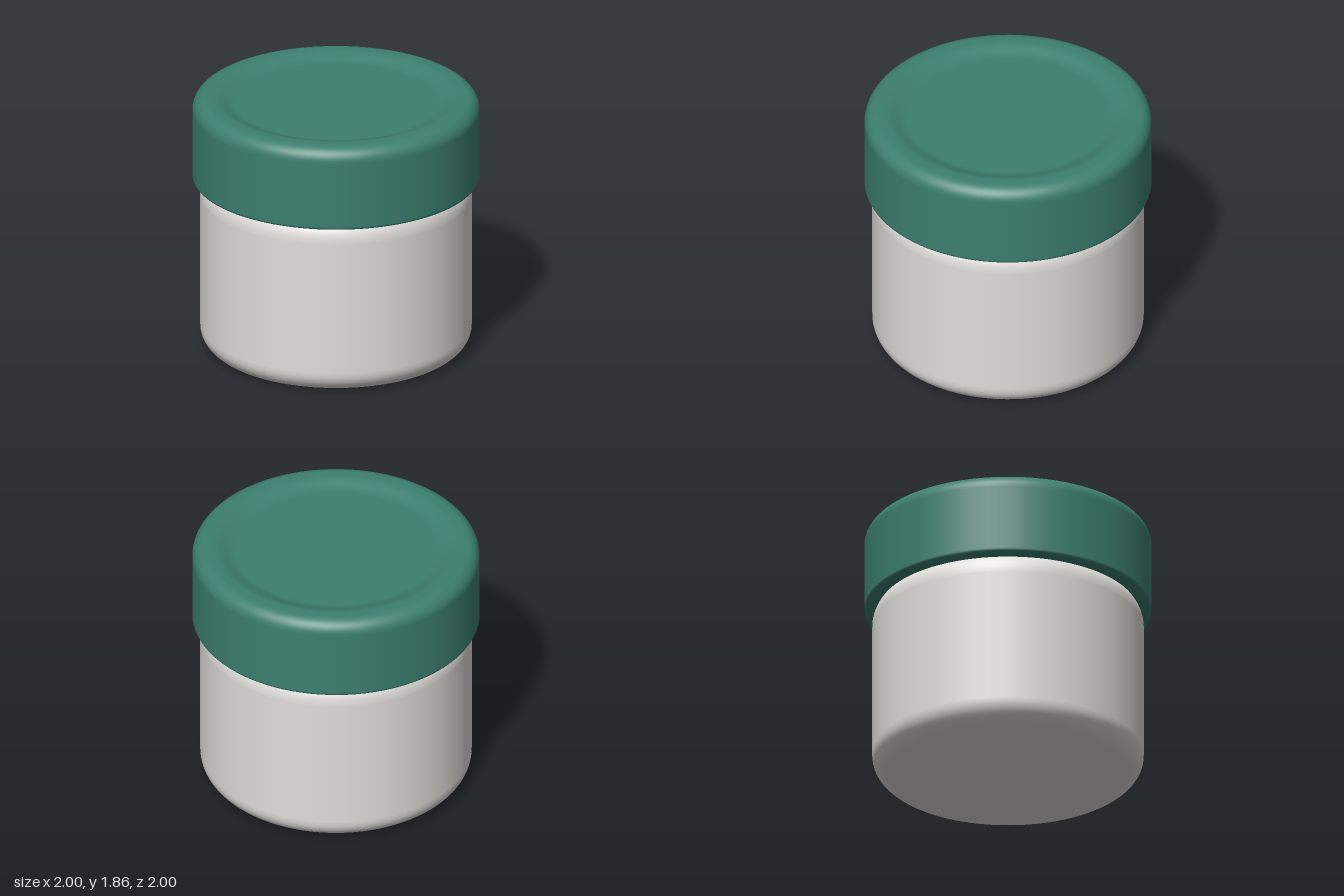
import * as THREE from 'three';

const SEGMENTS = 96;

// Points of an elliptical arc in the (radius, height) profile plane, angles in degrees
function arc(cx, cy, rx, ry, from, to, steps = 10) {
  return Array.from({ length: steps + 1 }, (_, i) => {
    const a = THREE.MathUtils.degToRad(from + ((to - from) * i) / steps);
    return new THREE.Vector2(cx + rx * Math.cos(a), cy + ry * Math.sin(a));
  });
}

const p = (r, y) => new THREE.Vector2(r, y);

function turned(name, profile, material) {
  const mesh = new THREE.Mesh(new THREE.LatheGeometry(profile, SEGMENTS), material);
  mesh.name = name;
  return mesh;
}

export function createModel() {
  const jarWhite = new THREE.MeshStandardMaterial({ name: 'jarWhite', color: 0xe0deda });
  const lidGreen = new THREE.MeshStandardMaterial({ name: 'lidGreen', color: 0x3c7f70 });
  const group = new THREE.Group();
  group.name = 'jar';

  // Jar body: flat base, rounded foot, straight wall, shoulder running up inside the lid
  group.add(turned('jarBody', [
    p(0, 0),
    p(0.785, 0),
    ...arc(0.795, 0.15, 0.15, 0.15, -90, 0),
    p(0.945, 0.16),
    p(0.945, 1.125),
    ...arc(0.745, 1.135, 0.2, 0.2, 0, 90),
    p(0, 1.335),
  ], jarWhite));

  // Recess step: smooth S-curve from the rim down to the sunken centre of the lid
  const recess = Array.from({ length: 13 }, (_, i) => {
    const t = i / 12;
    return p(0.86 - 0.16 * t, 1.82 + 0.04 * (0.5 + 0.5 * Math.cos(Math.PI * t)));
  });

  // Lid: underside, small lower edge, straight skirt, rounded rim, shallow recess
  group.add(turned('lid', [
    p(0.88, 1.255),
    p(0.975, 1.255),
    ...arc(0.98, 1.275, 0.02, 0.02, -90, 0, 5),
    p(1, 1.285),
    p(1, 1.75),
    ...arc(0.9, 1.76, 0.1, 0.1, 0, 90),
    ...recess,
    p(0.69, 1.82),
    p(0, 1.82),
  ], lidGreen));

  return group;
}
